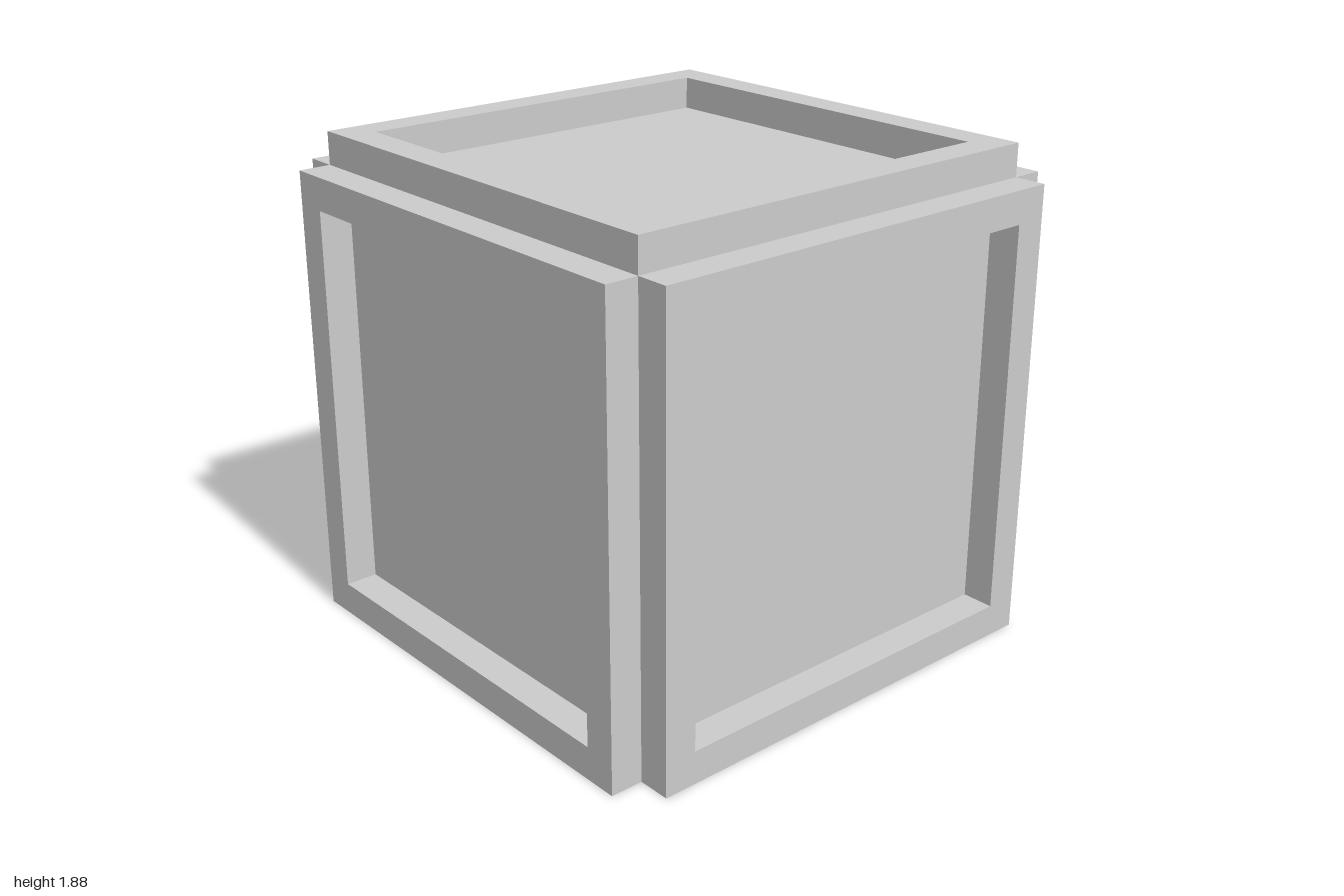
import * as THREE from 'three';

const OUTER = 0.875; // half width of a frame
const INNER = 0.75;  // half width of the recess
const DEPTH = 0.125; // how far a frame stands out

const material = new THREE.MeshStandardMaterial({ color: 0xcccccc, side: THREE.DoubleSide });

function square(path, r) {
  path.moveTo(-r, -r);
  path.lineTo(r, -r);
  path.lineTo(r, r);
  path.lineTo(-r, r);
  path.closePath();
  return path;
}

function addMesh(group, name, geometry) {
  const mesh = new THREE.Mesh(geometry, material);
  mesh.name = name;
  group.add(mesh);
}

// Thin wall standing on one edge of a square; k = 0 top, 2 bottom
function rim(r, k, facing) {
  return new THREE.PlaneGeometry(2 * r, DEPTH)
    .rotateX(-facing * Math.PI / 2)
    .translate(0, r, DEPTH / 2)
    .rotateZ(k * Math.PI / 2);
}

// Hollow raised frame around a recessed square, facing +z.
// Upright panels have no downward faces.
function createPanel(name, upright) {
  const panel = new THREE.Group();
  panel.name = name;
  const face = square(new THREE.Shape(), OUTER);
  face.holes.push(square(new THREE.Path(), INNER));
  addMesh(panel, 'frameFace', new THREE.ShapeGeometry(face).translate(0, 0, DEPTH));
  addMesh(panel, 'recessedPanel', new THREE.PlaneGeometry(2 * INNER, 2 * INNER));
  for (let k = 0; k < 4; k++) {
    if (!(upright && k === 2)) addMesh(panel, 'frameOuterEdge', rim(OUTER, k, 1));
    if (!(upright && k === 0)) addMesh(panel, 'frameInnerEdge', rim(INNER, k, -1));
  }
  return panel;
}

export function createModel() {
  const model = new THREE.Group();
  model.name = 'framedCube';

  // Four sides
  ['frontPanel', 'leftPanel', 'backPanel', 'rightPanel'].forEach((name, i) => {
    const panel = createPanel(name, true);
    const angle = i * Math.PI / 2;
    panel.rotation.y = angle;
    panel.position.set(Math.sin(angle) * OUTER, OUTER, Math.cos(angle) * OUTER);
    model.add(panel);
  });

  // Top; the underside stays open
  const top = createPanel('topPanel', false);
  top.rotation.x = -Math.PI / 2;
  top.position.y = 2 * OUTER;
  model.add(top);

  return model;
}
